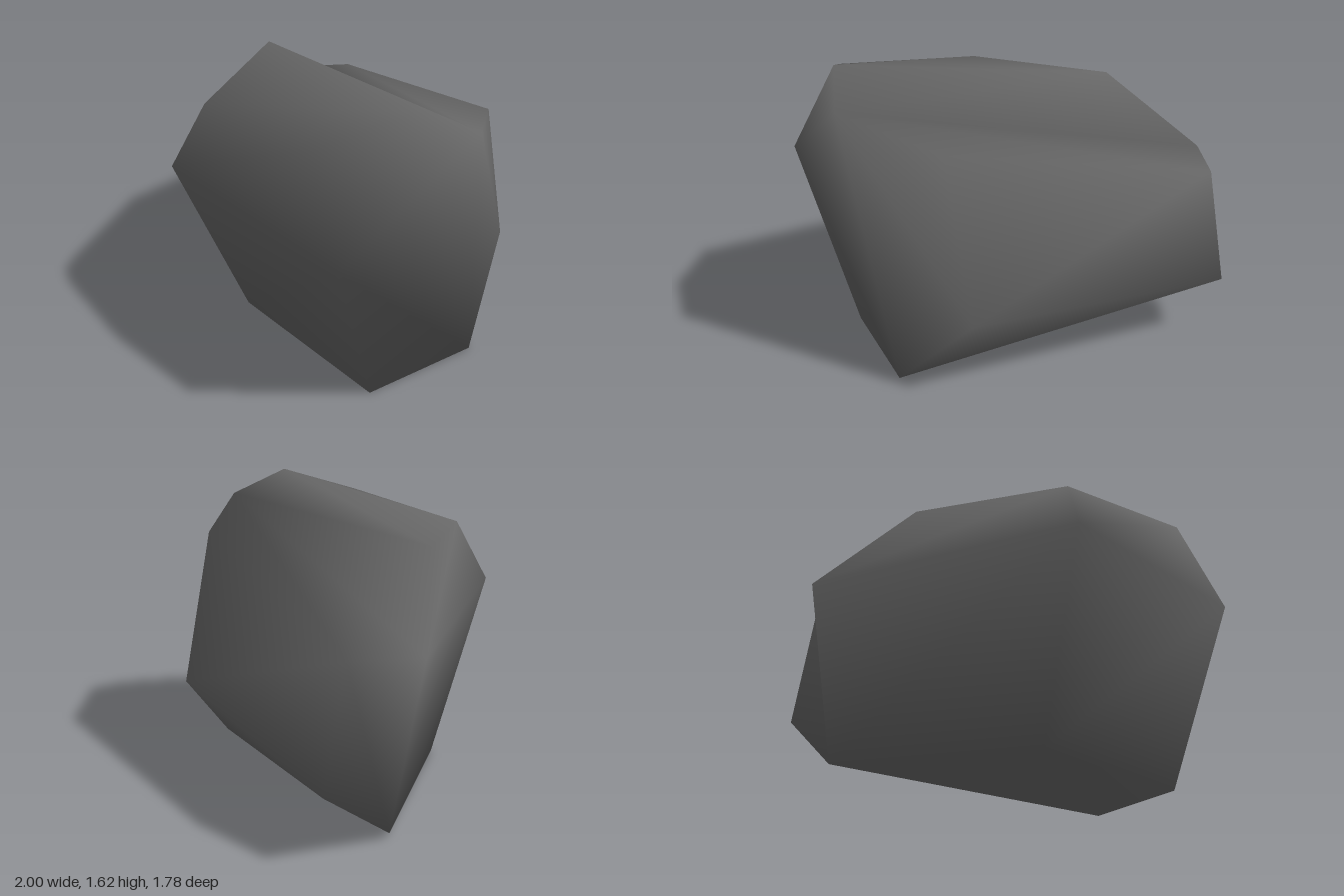
import * as THREE from 'three';

// Corners of the boulder
const corners = {
  // ground ring
  footFrontRight: [-0.28, 0, 0.54], footFrontLeft: [0.74, 0, 0.54],
  footBackLeft: [0.87, 0, -0.1], footBackRight: [-0.8, 0.03, -0.45],
  // bulges at the back and front
  backRight: [-0.78, 0.37, -0.89], backLeft: [0.69, 0.48, -0.54],
  frontRight: [-0.38, 1.03, 0.89], frontLeft: [0.88, 1.03, 0.89],
  // shoulders
  shoulderRight: [-1, 0.98, -0.45], shoulderLeft: [1, 1.48, 0.12],
  rimBackRight: [-0.78, 0.98, -0.74], rimBackLeft: [0.69, 1.33, -0.33],
  // ridge and brow
  ridge: [-0.67, 1.38, -0.01], peak: [0.84, 1.62, 0.4],
  browRight: [-0.27, 1.375, 0.73], browLeft: [0.6, 1.48, 0.8],
};

// Facets as fans: the first corner is joined to each neighbouring pair that follows
const fans = [
  // sunken top behind the ridge
  ['shoulderLeft', 'peak', 'ridge', 'shoulderRight', 'rimBackRight', 'rimBackLeft'],
  // hollow below the ridge on the right
  ['shoulderRight', 'ridge', 'browRight', 'frontRight'],
  // right side and underside
  ['footBackRight', 'footFrontRight', 'frontRight', 'shoulderRight', 'rimBackRight',
    'backRight', 'footBackLeft', 'footFrontRight'],
  // left side and underside
  ['footBackLeft', 'backRight', 'backLeft', 'shoulderLeft', 'frontLeft',
    'footFrontLeft', 'footFrontRight'],
  // back
  ['backLeft', 'backRight', 'rimBackRight', 'rimBackLeft', 'shoulderLeft'],
  // front
  ['frontLeft', 'shoulderLeft', 'peak', 'browLeft', 'frontRight',
    'footFrontRight', 'footFrontLeft'],
  // brow
  ['browRight', 'ridge', 'peak', 'browLeft', 'frontRight'],
];

// Shared corners give smooth shading; every facet is turned to face away from the core
function boulderGeometry() {
  const names = Object.keys(corners);
  const points = names.map((name) => new THREE.Vector3(...corners[name]));
  const core = new THREE.Vector3(0, 0.75, 0);
  const facet = new THREE.Triangle();
  const normal = new THREE.Vector3();
  const index = [];
  for (const fan of fans) {
    const [hub, ...rim] = fan.map((name) => names.indexOf(name));
    for (let i = 0; i + 1 < rim.length; i++) {
      const [a, b, c] = [hub, rim[i], rim[i + 1]];
      facet.set(points[a], points[b], points[c]).getNormal(normal);
      const outward = normal.dot(points[a].clone().sub(core)) > 0;
      index.push(a, ...(outward ? [b, c] : [c, b]));
    }
  }
  const geometry = new THREE.BufferGeometry().setFromPoints(points);
  geometry.setIndex(index);
  geometry.computeVertexNormals();
  return geometry;
}

export function createModel() {
  const stone = new THREE.MeshStandardMaterial({ color: 0x666666 });
  stone.name = 'darkStone';

  const boulder = new THREE.Mesh(boulderGeometry(), stone);
  boulder.name = 'boulder';

  const model = new THREE.Group();
  model.name = 'rock';
  model.add(boulder);
  return model;
}
